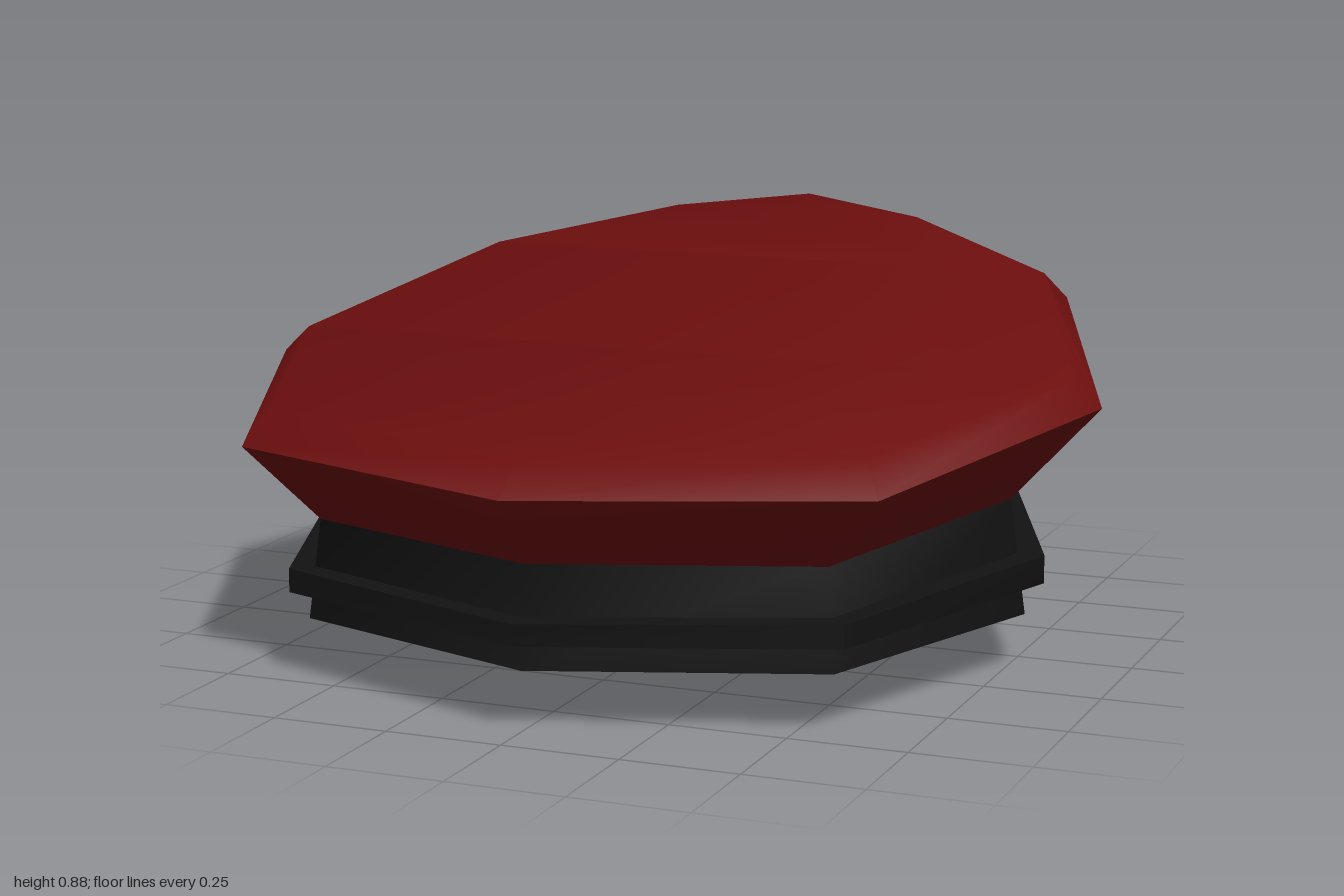
import * as THREE from 'three';
import { toCreasedNormals } from 'three/addons/utils/BufferGeometryUtils.js';

const mat = (name, color) => {
  const m = new THREE.MeshStandardMaterial({ color });
  m.name = name;
  return m;
};

// Complete a half ring (first and last points on x = 0) by mirroring it
const mirrorRing = (half) => [
  ...half,
  ...half.slice(1, -1).reverse().map(([x, y, z]) => [-x, y, z]),
];

// Skin a list of equal closed rings, with optional end caps
function loft(rings, capStart = true, capEnd = true, crease = 0.95) {
  const n = rings[0].length, index = [];
  const quad = (a, b, c, d) => index.push(a, b, c, a, c, d);
  for (let r = 0; r < rings.length - 1; r++) {
    for (let i = 0; i < n; i++) {
      const j = (i + 1) % n;
      quad(r * n + i, r * n + j, (r + 1) * n + j, (r + 1) * n + i);
    }
  }
  const last = (rings.length - 1) * n;
  for (let i = 0; i < n / 2; i++) {
    const c = n - i - 1, d = (n - i) % n;
    const tris = [[i, i + 1, c], [i, c, d]];
    for (const [p, q, s] of tris) {
      if (p === q || q === s || p === s) continue;
      if (capStart) index.push(p, s, q);
      if (capEnd) index.push(last + p, last + q, last + s);
    }
  }
  const g = new THREE.BufferGeometry();
  g.setAttribute('position', new THREE.Float32BufferAttribute(rings.flat(2), 3));
  g.setIndex(index);
  return toCreasedNormals(g, crease);
}

export function createModel() {
  const group = new THREE.Group();
  group.name = 'peakedCap';
  const red = mat('crownRed', 0x6c0e0e);
  const black = mat('black', 0x121212);
  const white = mat('badgeWhite', 0xcfc8c8);
  const badgeRed = mat('badgeRed', 0x9c1518);
  const add = (name, geometry, material) => {
    const m = new THREE.Mesh(geometry, material);
    m.name = name;
    group.add(m);
    return m;
  };

  // Crown: flares out from the band, bevels at the rim, slopes up to the peak
  const seam = [[0, .34, .88], [.56, .34, .68], [.76, .375, .11], [.57, .42, -.39], [.28, .455, -.6], [0, .475, -.665]];
  const rim = [[0, .49, .995], [.69, .5, .77], [.95, .58, .11], [.71, .71, -.48], [.33, .8, -.73], [0, .84, -.835]];
  const top = [[0, .55, .92], [.65, .57, .72], [.89, .637, .11], [.67, .77, -.43], [.3, .85, -.65], [0, .88, -.745]];
  add('crown', loft([seam, rim, top].map(mirrorRing)), red);

  // Band
  const foot = [[0, .13, .905], [.58, .13, .7], [.795, .13, .11], [.6, .13, -.4], [.29, .13, -.63], [0, .13, -.69]];
  add('band', loft([foot, seam].map(mirrorRing)), black);

  // Raised strap around the band
  const strapPlan = [[0, .95], [.61, .73], [.835, .11], [.62, -.42], [.3, -.66], [0, -.73]];
  const low = [.19, .19, .2, .21, .22, .225], high = [.235, .24, .26, .28, .295, .3];
  const strapRing = (ys, s) => mirrorRing(strapPlan.map(([x, z], i) => [x * s, ys[i], z * s]));
  add('strap', loft([strapRing(low, .9), strapRing(low, 1), strapRing(high, 1), strapRing(high, .9)], false, false, 0.85), black);

  // Visor: sections from one side to the other (inner top, outer top, outer bottom, inner bottom)
  const sections = [
    [[.62, .18, -.33], [.65, .15, -.34], [.65, .13, -.31], [.6, .13, -.31]],
    [[.59, .19, -.4], [.595, .08, -.645], [.58, .025, -.635], [.55, .13, -.31]],
    [[.29, .215, -.61], [.3, .06, -.94], [.3, .005, -.9], [.29, .13, -.31]],
    [[0, .225, -.68], [0, .065, -1], [0, .012, -.975], [0, .13, -.31]],
  ];
  const flipped = sections.slice(0, -1).reverse().map((s) => s.map(([x, y, z]) => [-x, y, z]));
  add('visor', loft([...sections, ...flipped]), black);

  // Badge: lobed plate bent around the front of the crown
  const outline = [[0, .77], [.06, .755], [.1, .69], [.15, .665], [.22, .65], [.265, .59], [.265, .5], [.2, .43], [.14, .33], [0, .31]];
  const bend = (x, y) => -.69 - .04 * (y - .31) - .4 * Math.max(0, y - .46) + 1.1 * x * x;
  const badgeRing = (s, lift) => mirrorRing(outline.map(([x, y]) => {
    const px = x * s, py = .52 + (y - .52) * s;
    return [px, py, bend(px, py) - lift];
  }));
  const plate = (s, back, front) => loft(
    [badgeRing(s, back), badgeRing(s, front), badgeRing(s * .66, front), badgeRing(s * .33, front), badgeRing(.03, front)], false);
  add('badgeBorder', plate(1, -.04, 0), black);
  add('badgePlate', plate(.91, 0, .008), white);

  // Badge centre stone
  const stone = add('badgeStone', new THREE.SphereGeometry(1, 12, 8), badgeRed);
  stone.scale.set(.07, .085, .035);
  stone.position.set(0, .52, -.735);
  stone.rotation.x = .35;

  return group;
}
